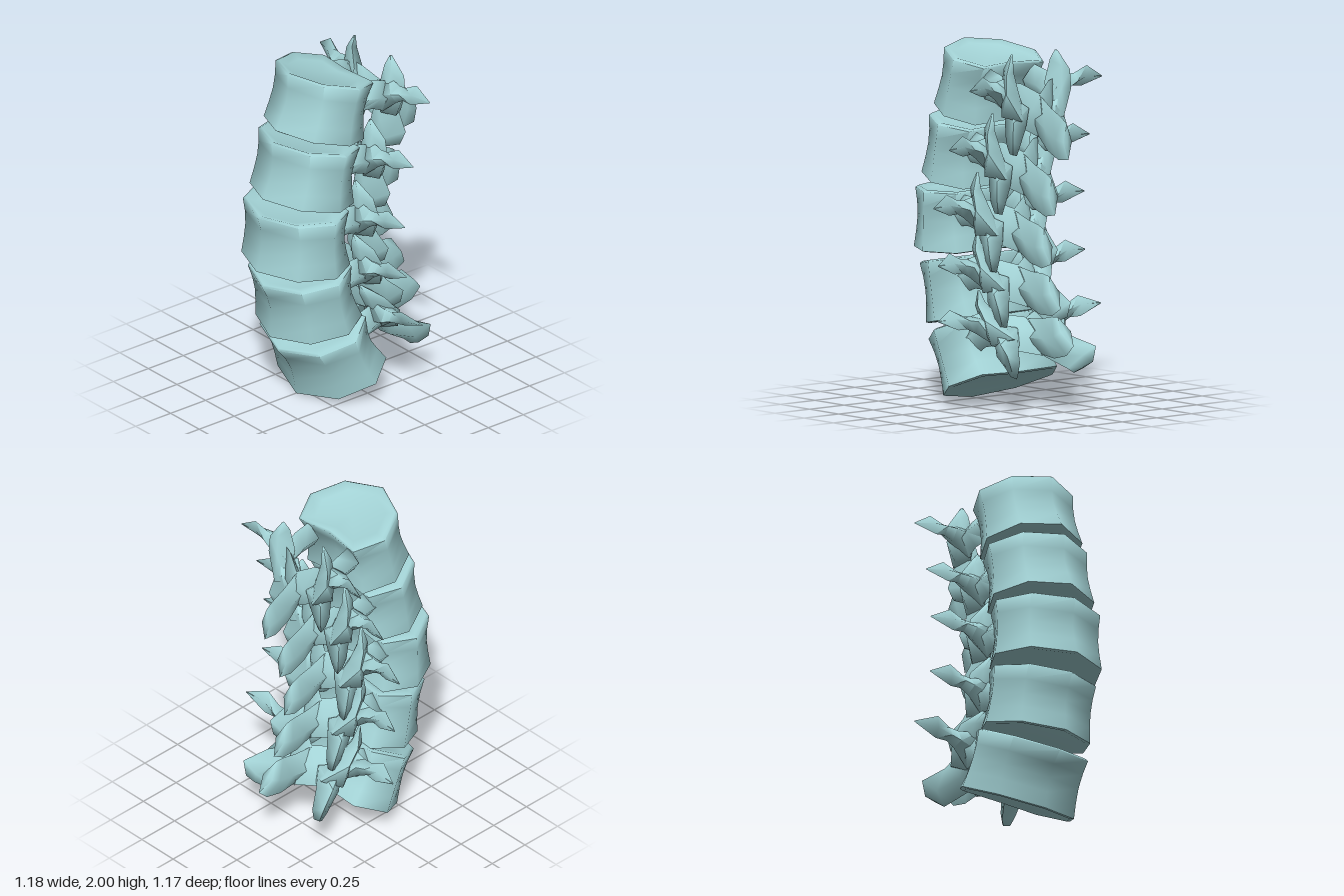
import * as THREE from 'three';
import { mergeVertices, toCreasedNormals } from 'three/addons/utils/BufferGeometryUtils.js';

const material = new THREE.MeshStandardMaterial({ color: 0xa4d4d7 });

// Closed skin over a list of rings (arrays of [x, y, z]) with fan caps.
function loft(rings, crease) {
  const n = rings[0].length;
  const pos = rings.flat(2);
  const idx = [];
  for (let r = 0; r < rings.length - 1; r++) {
    for (let i = 0; i < n; i++) {
      const a = r * n + i, b = r * n + (i + 1) % n;
      idx.push(a, b, b + n, a, b + n, a + n);
    }
  }
  const capCentre = (ring) => {
    pos.push(...[0, 1, 2].map((k) => ring.reduce((s, p) => s + p[k], 0) / n));
    return pos.length / 3 - 1;
  };
  const first = capCentre(rings[0]), last = capCentre(rings[rings.length - 1]);
  const end = (rings.length - 1) * n;
  for (let i = 0; i < n; i++) {
    const j = (i + 1) % n;
    idx.push(first, j, i, last, end + i, end + j);
  }
  // turn the faces outward when the enclosed volume comes out negative
  const v = (i) => new THREE.Vector3(pos[3 * i], pos[3 * i + 1], pos[3 * i + 2]);
  let volume = 0;
  for (let t = 0; t < idx.length; t += 3) {
    volume += v(idx[t]).dot(v(idx[t + 1]).cross(v(idx[t + 2])));
  }
  if (volume < 0) idx.reverse();
  const geo = new THREE.BufferGeometry();
  geo.setAttribute('position', new THREE.Float32BufferAttribute(pos, 3));
  geo.setIndex(idx);
  return toCreasedNormals(mergeVertices(geo, 1e-5), crease);
}

// Four-sided blade: each station is [centre, half axis u, half axis v].
function blade(stations, side = 1) {
  const rings = stations.map(([c, u, v]) =>
    [[1, 0], [0, 1], [-1, 0], [0, -1]].map(([a, b]) =>
      c.map((q, k) => (q + a * u[k] + b * v[k]) * (k === 0 ? side : 1))));
  return loft(rings, 1.6);
}

function bodyGeometry() {
  const half = [[0.245, 0.135], [0.345, -0.06], [0.25, -0.235]];
  const outline = [[0, 0.23], ...half, [0, -0.21],
    ...half.slice().reverse().map(([x, z]) => [-x, z])];
  // y, x scale, z scale: flat end plates, sharp rims and a pinched waist
  const levels = [[-0.163, 0.7, 0.7], [-0.176, 0.93, 0.93], [-0.17, 1, 1],
    [-0.08, 0.98, 0.9], [0, 0.97, 0.84], [0.08, 0.97, 0.87],
    [0.16, 0.98, 0.97], [0.17, 0.91, 0.92], [0.155, 0.7, 0.7]];
  return loft(levels.map(([y, sx, sz]) => outline.map(([x, z]) => [x * sx, y, z * sz])), 1.3);
}

// Arch parts on one side; flare spreads the lower joint outward and back.
function archParts(flare) {
  return {
    pedicle: [
      [[0.18, 0.06, -0.18], [0.07, 0, 0], [0, 0.09, 0]],
      [[0.185, 0.065, -0.28], [0.065, 0, 0], [0, 0.085, 0]],
      [[0.18, 0.04, -0.42], [0.06, 0, 0], [0, 0.09, 0]],
    ],
    transverseProcess: [
      [[0.17, 0.06, -0.36], [0, 0.11, 0], [0, 0, 0.08]],
      [[0.29, 0.095, -0.36], [0, 0.05, 0], [0, 0, 0.055]],
      [[0.34, 0.11, -0.365], [0, 0.038, 0], [0, 0, 0.04]],
      [[0.415, 0.13, -0.375], [0.01, 0.06, 0], [0, 0, 0.02]],
      [[0.54, 0.125, -0.4], [0, 0.003, 0], [0, 0, 0.003]],
    ],
    superiorJoint: [
      [[0.17, -0.05, -0.43], [0.08, 0, 0.02], [0, 0, 0.075]],
      [[0.195, 0.1, -0.39], [0.07, -0.01, -0.045], [0.02, 0, 0.055]],
      [[0.21, 0.21, -0.365], [0.05, -0.02, -0.04], [0.012, 0, 0.03]],
      [[0.18, 0.29, -0.345], [0.008, 0, -0.004], [0.003, 0, 0.006]],
    ],
    lamina: [
      [[0.19, 0.05, -0.37], [0, 0.09, 0], [0.05, 0, 0.05]],
      [[0.11, 0.01, -0.42], [0, 0.12, 0.03], [0.03, 0, 0.065]],
      [[-0.005, -0.04, -0.47], [0, 0.12, 0.02], [0.02, 0, 0.06]],
    ],
    inferiorJoint: [
      [[0.12, 0.02, -0.41], [0.08, 0.05, 0], [0.01, 0, 0.075]],
      [[0.14 + flare * 0.5, -0.1, -0.425], [0.07, 0.035, -0.05], [0.03, 0, 0.06]],
      [[0.17 + flare, -0.2, -0.46 - flare * 0.9], [0.065, 0.04, -0.06], [0.022, 0, 0.038]],
      [[0.17 + flare, -0.255, -0.475 - flare * 0.5], [0.04, 0.015, -0.04], [0.012, 0, 0.02]],
    ],
  };
}

const spinousProcess = [
  [[0, -0.03, -0.45], [0, 0.11, 0.02], [0.06, 0, 0]],
  [[0, -0.085, -0.57], [0, 0.12, 0.01], [0.035, 0, 0]],
  [[0, -0.105, -0.67], [0, 0.12, 0.015], [0.038, 0, 0]],
  [[0, -0.1, -0.735], [0, 0.095, 0.03], [0.034, 0, 0]],
];

function addMesh(parent, name, geo) {
  const mesh = new THREE.Mesh(geo, material);
  mesh.name = name;
  parent.add(mesh);
}

function makeVertebra(flare, archShift) {
  const group = new THREE.Group();
  addMesh(group, 'vertebralBody', bodyGeometry());
  const arch = new THREE.Group();
  arch.name = 'vertebralArch';
  arch.position.z = archShift;
  addMesh(arch, 'spinousProcess', blade(spinousProcess));
  for (const [name, stations] of Object.entries(archParts(flare))) {
    addMesh(arch, name + 'Left', blade(stations, 1));
    addMesh(arch, name + 'Right', blade(stations, -1));
  }
  group.add(arch);
  return group;
}

export function createModel() {
  const model = new THREE.Group();
  model.name = 'lumbarSpine';
  // body centre y and z, upward tilt of the front in degrees, width, joint flare, arch shift
  const column = [
    [1.79, 0.19, 13.5, 0.885, 0, -0.03],
    [1.41, 0.29, 9.5, 0.94, 0, 0.01],
    [1.015, 0.36, 0.5, 1.01, 0.01, 0.015],
    [0.62, 0.3, -11, 0.985, 0.03, 0.02],
    [0.25, 0.168, -24.5, 1.09, 0.06, 0.03],
  ];
  column.forEach(([y, z, tilt, width, flare, archShift], i) => {
    const vertebra = makeVertebra(flare, archShift);
    vertebra.name = 'vertebra' + (i + 1);
    vertebra.position.set(0, y, z);
    vertebra.rotation.x = -THREE.MathUtils.degToRad(tilt);
    vertebra.scale.x = width;
    model.add(vertebra);
  });
  return model;
}
